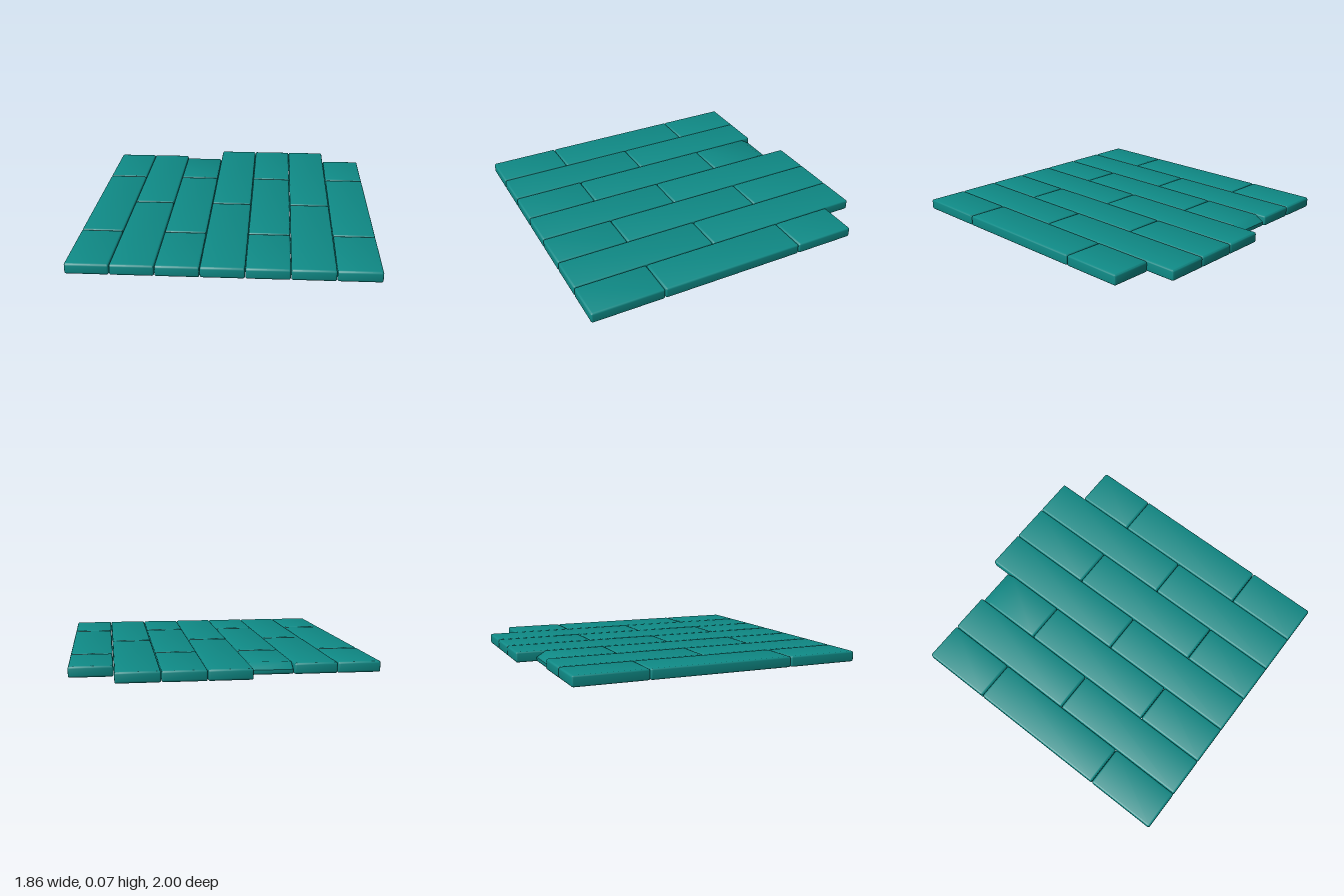
import * as THREE from 'three';
import { toCreasedNormals } from 'three/addons/utils/BufferGeometryUtils.js';

const HEIGHT = 0.068, PITCH = 0.2668, GAP = 0.003;
const BEVEL = 0.011, ROUND = 0.014;

// Side profile (length across, height up) swept over the plank's width, with all edges eased.
function plankGeometry(back, front, sloped) {
  const z0 = back + GAP / 2, z1 = front - GAP / 2, r = ROUND;
  const s = new THREE.Shape();
  s.moveTo(z0 + r, 0);
  s.lineTo(z1 - r, 0);
  s.quadraticCurveTo(z1, 0, z1, r);
  s.lineTo(z1, HEIGHT - r);
  s.quadraticCurveTo(z1, HEIGHT, z1 - r, HEIGHT);
  if (sloped) {
    s.lineTo(z0 + 0.06, HEIGHT);
    s.lineTo(z0, 0.03);
  } else {
    s.lineTo(z0 + r, HEIGHT);
    s.quadraticCurveTo(z0, HEIGHT, z0, HEIGHT - r);
  }
  s.lineTo(z0, r);
  s.quadraticCurveTo(z0, 0, z0 + r, 0);

  const depth = PITCH - GAP - 2 * BEVEL;
  const geo = new THREE.ExtrudeGeometry(s, {
    depth, curveSegments: 3, bevelEnabled: true, bevelSegments: 3,
    bevelSize: BEVEL, bevelThickness: BEVEL, bevelOffset: -BEVEL,
  });
  geo.translate(0, 0, -depth / 2);
  geo.rotateY(-Math.PI / 2);
  return toCreasedNormals(geo, 0.7);
}

export function createModel() {
  const group = new THREE.Group();
  group.name = 'plankFloor';
  const material = new THREE.MeshStandardMaterial({ color: 0x0f8a86 });

  // Uneven back end of each row, from right (-x) to left (+x)
  const backEnds = [-0.88, -0.88, -0.87, -1, -1, -1, -0.81];

  backEnds.forEach((back, row) => {
    // Staggered joints: even rows break twice, odd rows once
    const joints = row % 2 === 0 ? [-0.41, 0.53] : [0.06];
    const cuts = [back, ...joints, 1];
    const rowGroup = new THREE.Group();
    rowGroup.name = `plankRow${row + 1}`;
    rowGroup.position.x = (row - 3) * PITCH;
    for (let i = 0; i < cuts.length - 1; i++) {
      const sloped = row === 2 && i === 0; // one plank has a slanted end
      const plank = new THREE.Mesh(plankGeometry(cuts[i], cuts[i + 1], sloped), material);
      plank.name = sloped ? 'slantedPlank' : 'plank';
      rowGroup.add(plank);
    }
    group.add(rowGroup);
  });
  return group;
}
